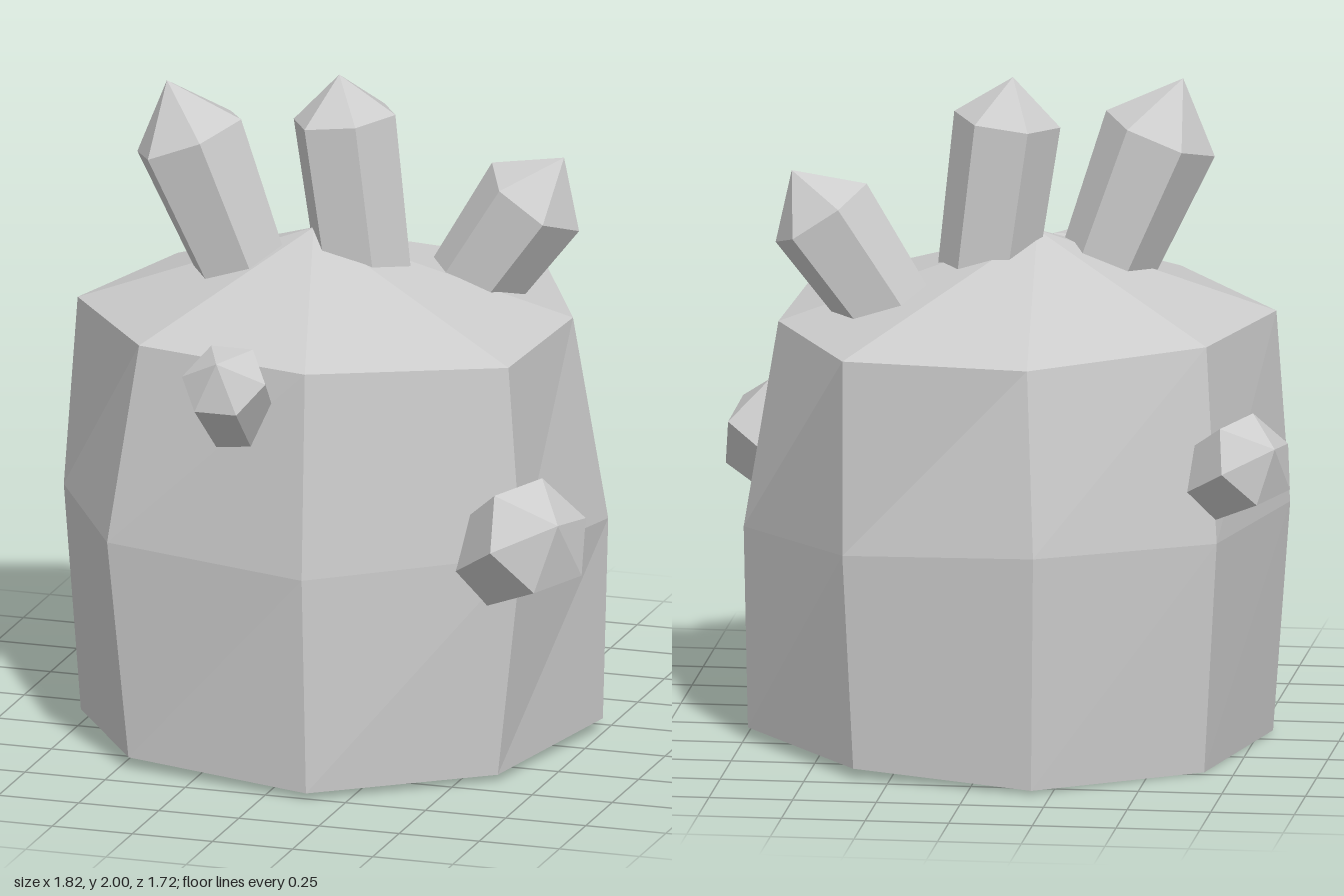
import * as THREE from 'three';

const stone = new THREE.MeshStandardMaterial({ color: 0xcccccc, flatShading: true });
stone.name = 'grey stone';

// Irregular eight-sided rock: three rings of corners, a peaked top and a closed base
function makeRock() {
  const bottom = [[-0.19, 0.01, -0.83], [0.36, 0.03, -0.69], [0.74, 0.035, -0.2], [0.61, 0.02, 0.4],
    [0.13, 0.02, 0.76], [-0.47, 0.035, 0.62], [-0.79, 0.005, 0.1], [-0.66, 0, -0.47]];
  const middle = [[-0.2, 0.72, -0.86], [0.39, 0.68, -0.71], [0.75, 0.65, -0.22], [0.68, 0.7, 0.39],
    [0.12, 0.68, 0.77], [-0.53, 0.7, 0.64], [-0.84, 0.7, 0.11], [-0.7, 0.7, -0.49]];
  const top = [[-0.17, 1.27, -0.77], [0.39, 1.27, -0.71], [0.65, 1.27, -0.19], [0.63, 1.27, 0.36],
    [0.11, 1.3, 0.71], [-0.45, 1.3, 0.58], [-0.8, 1.28, 0.1], [-0.66, 1.28, -0.42]];
  const peak = [-0.1, 1.53, -0.01], under = [-0.03, 0.018, -0.03];
  const points = [];
  for (let i = 0; i < 8; i++) {
    const j = (i + 1) % 8;
    for (const [lo, up] of [[bottom, middle], [middle, top]]) {
      points.push(lo[j], lo[i], up[i], lo[j], up[i], up[j]);
    }
    points.push(top[j], top[i], peak, bottom[i], bottom[j], under);
  }
  const geometry = new THREE.BufferGeometry();
  geometry.setAttribute('position', new THREE.Float32BufferAttribute(points.flat(), 3));
  geometry.computeVertexNormals();
  const rock = new THREE.Mesh(geometry, stone);
  rock.name = 'rockBody';
  return rock;
}

// Six-sided pointed crystal: root, shoulder centre, shoulder radius, root radius, point length
function makeCrystal(name, root, shoulder, radius, rootRadius, point) {
  const start = new THREE.Vector3(...root);
  const axis = new THREE.Vector3(...shoulder).sub(start);
  const length = axis.length();
  const profile = [[0, 0], [rootRadius, 0], [radius, length], [0, length + point]]
    .map(([r, y]) => new THREE.Vector2(r, y));
  const crystal = new THREE.Mesh(new THREE.LatheGeometry(profile, 6, Math.PI / 6), stone);
  crystal.position.copy(start);
  crystal.quaternion.setFromUnitVectors(new THREE.Vector3(0, 1, 0), axis.normalize());
  crystal.name = name;
  return crystal;
}

export function createModel() {
  const model = new THREE.Group();
  model.name = 'crystalRock';
  model.add(
    makeRock(),
    // Crystals on the top
    makeCrystal('topRightCrystal', [-0.26, 1.32, 0.06], [-0.455, 1.81, 0.09], 0.175, 0.135, 0.18),
    makeCrystal('topMiddleCrystal', [0.06, 1.3, -0.04], [-0.015, 1.87, -0.045], 0.16, 0.145, 0.13),
    makeCrystal('topLeftCrystal', [0.28, 1.27, -0.23], [0.515, 1.615, -0.245], 0.165, 0.135, 0.155),
    // Crystals on the sides
    makeCrystal('frontCrystal', [-0.12, 1.08, 0.58], [-0.12, 1.28, 0.78], 0.13, 0.11, 0.1),
    makeCrystal('leftCrystal', [0.48, 0.61, 0.29], [0.775, 0.81, 0.52], 0.18, 0.13, 0.12),
    makeCrystal('backRightCrystal', [-0.55, 0.79, -0.3], [-0.82, 0.97, -0.535], 0.145, 0.11, 0.1),
  );
  return model;
}
